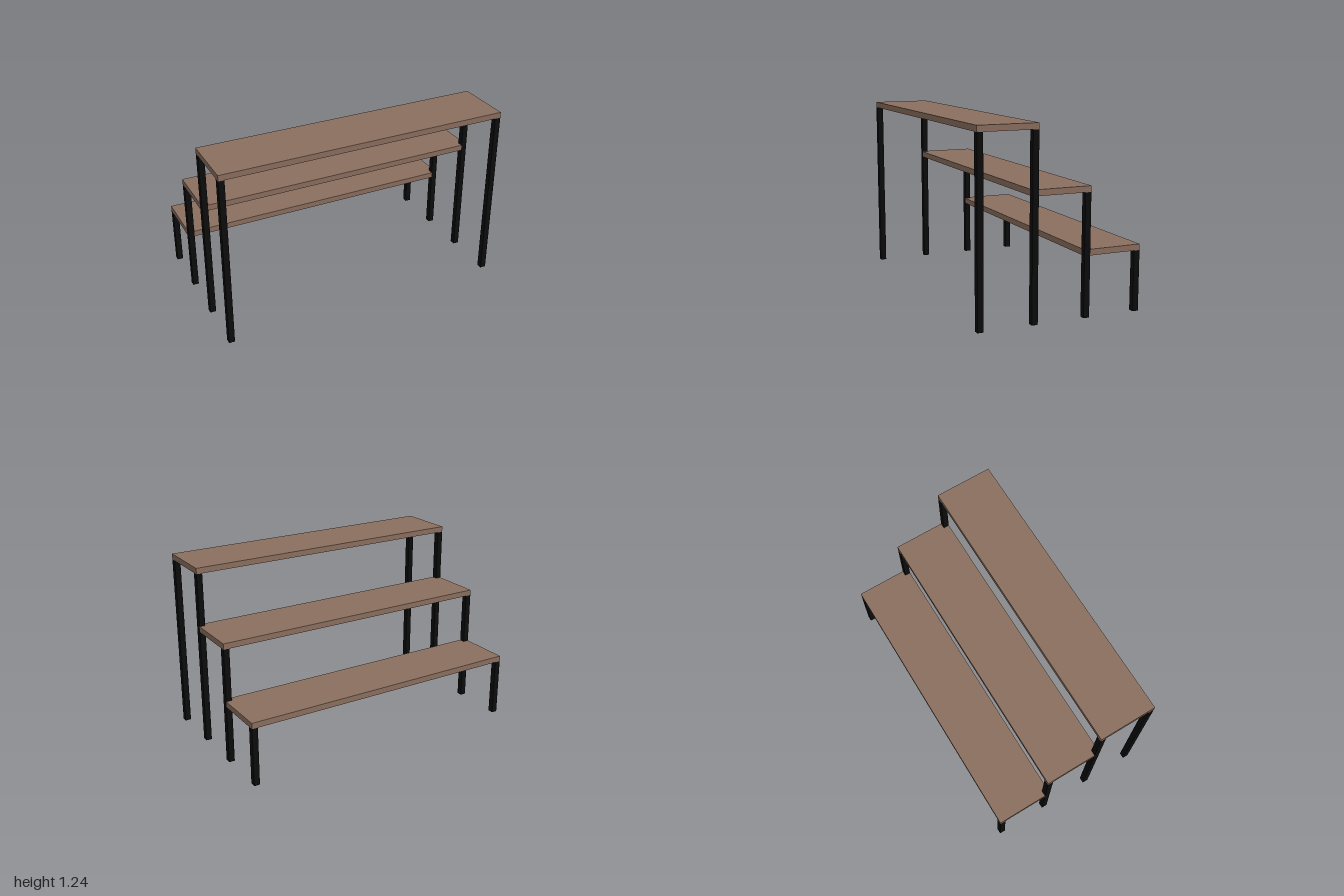
import * as THREE from 'three';

const W = 1, LEG = 0.04, DEPTH = 0.4, THICK = 0.04, PITCH = 0.36;

export function createModel() {
  const group = new THREE.Group();
  const wood = new THREE.MeshStandardMaterial({ color: 0x8b6f5f });
  const black = new THREE.MeshStandardMaterial({ color: 0x0c0c0c });

  // Board outline in x and depth; notched boards fit around the legs of the step above
  function addShelf(name, backZ, y, notched) {
    const n = notched ? LEG : 0;
    const pts = [[-W, 0], [W, 0], [W, DEPTH - n]];
    if (notched) pts.push([W - n, DEPTH - n], [W - n, DEPTH], [-W + n, DEPTH], [-W + n, DEPTH - n]);
    else pts.push([-W, DEPTH]);
    if (notched) pts.push([-W, DEPTH - n]);
    const shape = new THREE.Shape(pts.map(([x, z]) => new THREE.Vector2(x, z)));
    const geo = new THREE.ExtrudeGeometry(shape, { depth: THICK, bevelEnabled: false });
    geo.rotateX(Math.PI / 2); // outline depth becomes +z, thickness hangs down
    const shelf = new THREE.Mesh(geo, wood);
    shelf.name = name;
    shelf.position.set(0, y + THICK, backZ);
    group.add(shelf);
  }

  // A mirrored pair of square legs
  function addLegs(name, z, height) {
    for (const side of [-1, 1]) {
      const leg = new THREE.Mesh(new THREE.BoxGeometry(LEG, height, LEG), black);
      leg.name = (side > 0 ? 'left' : 'right') + name;
      leg.position.set(side * (W - LEG / 2), height / 2, z);
      group.add(leg);
    }
  }

  // Three steps, lowest at the back, each with legs under its rear edge
  ['lower', 'middle', 'upper'].forEach((label, i) => {
    const backZ = -0.56 + i * PITCH;
    const height = 0.4 * (i + 1);
    addShelf(label + 'Shelf', backZ, height, i < 2);
    addLegs('Leg' + (i + 1), backZ + LEG / 2, height);
  });

  // Front legs of the tallest step
  addLegs('FrontLeg', 0.54, 1.2);

  return group;
}
